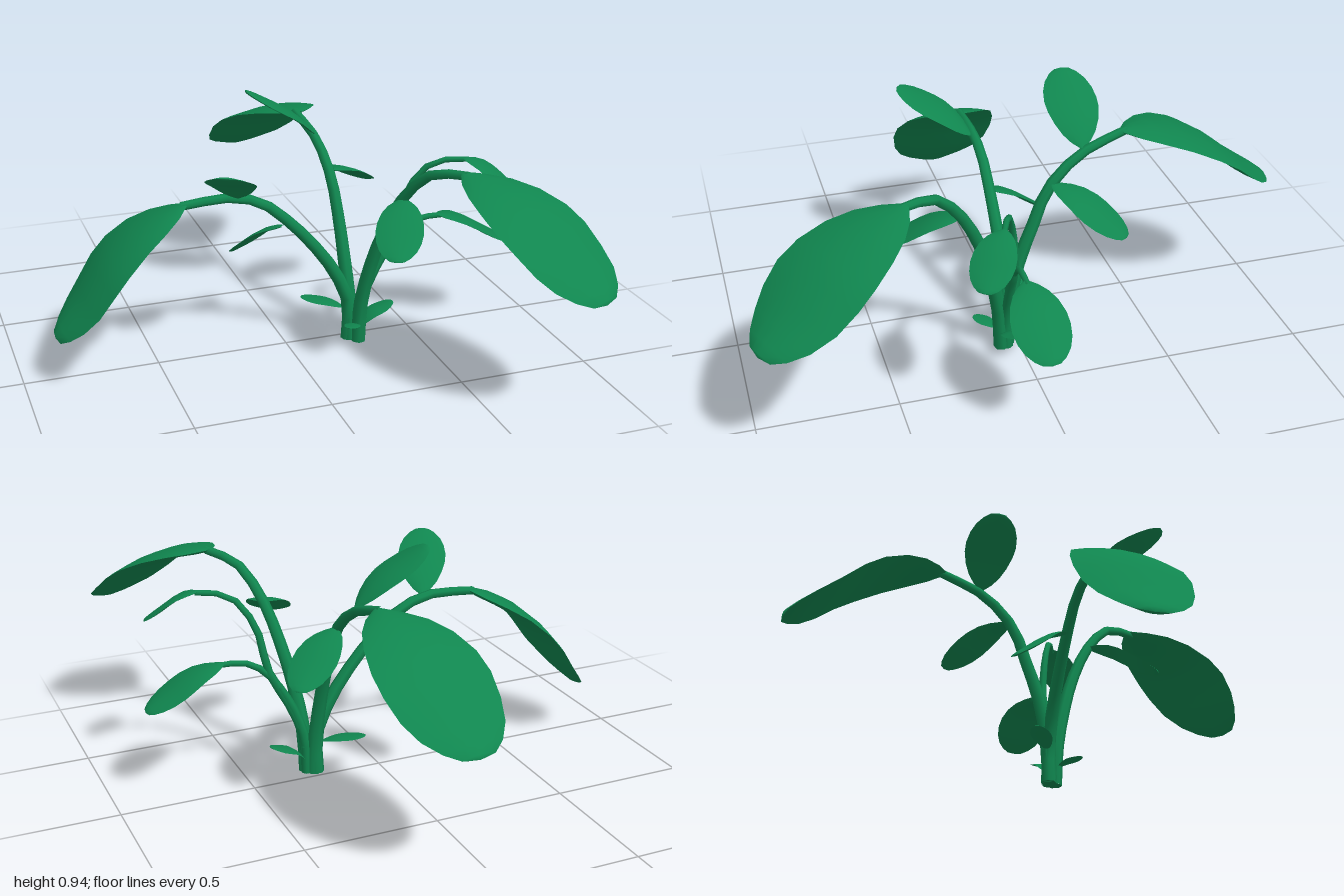
import * as THREE from 'three';
import { mergeGeometries } from 'three/addons/utils/BufferGeometryUtils.js';

const green = new THREE.MeshStandardMaterial({ color: 0x10864f });
green.name = 'leaf green';

const toCurve = (pts) => new THREE.CatmullRomCurve3(pts.map((p) => new THREE.Vector3(...p)));

// Tapered stalk following a path, closed at the foot
function stem(name, pts, r0, r1) {
  const curve = toCurve(pts);
  const seg = 12, sides = 7;
  const tube = new THREE.TubeGeometry(curve, seg, 1, sides, false);
  const pos = tube.attributes.position;
  const v = new THREE.Vector3();
  for (let i = 0; i <= seg; i++) {
    const c = curve.getPointAt(i / seg);
    const r = THREE.MathUtils.lerp(r0, r1, i / seg);
    for (let j = 0; j <= sides; j++) {
      const k = i * (sides + 1) + j;
      v.fromBufferAttribute(pos, k).sub(c).multiplyScalar(r).add(c);
      pos.setXYZ(k, v.x, v.y, v.z);
    }
  }
  const foot = new THREE.CircleGeometry(r0, sides).rotateX(Math.PI / 2).translate(...pts[0]);
  const mesh = new THREE.Mesh(mergeGeometries([tube, foot]), green);
  mesh.name = name;
  return mesh;
}

// Outline of a leaf: [position along the midrib, share of the half width]
const outline = [[0, 0.08], [0.07, 0.36], [0.17, 0.62], [0.3, 0.83], [0.45, 0.97], [0.58, 1],
  [0.72, 0.93], [0.84, 0.77], [0.93, 0.54], [0.985, 0.3], [1, 0]];
const across = [-1, -0.75, -0.4, 0, 0.4, 0.75, 1];

// One domed skin of the leaf; face is +1 for the top and -1 for the underside
function leafSkin(curve, halfWidth, face) {
  const verts = [], index = [];
  const n = across.length;
  outline.forEach(([t, share], i) => {
    const p = curve.getPointAt(t), tangent = curve.getTangentAt(t);
    const side = new THREE.Vector3(0, 1, 0).cross(tangent).normalize();
    const up = tangent.clone().cross(side);
    const w = halfWidth * share;
    const dome = halfWidth * (face > 0 ? 0.13 : 0.1) * Math.sqrt(share);
    across.forEach((u, j) => {
      const q = p.clone().addScaledVector(side, u * w)
        .addScaledVector(up, share === 0 ? 0 : face * dome * (1 - u * u));
      verts.push(q.x, q.y, q.z);
      if (i === outline.length - 1 || j === n - 1) return;
      const a = i * n + j, b = a + n, c = a + 1, d = b + 1;
      if (face > 0) index.push(a, b, c, c, b, d);
      else index.push(a, c, b, c, d, b);
    });
  });
  const g = new THREE.BufferGeometry();
  g.setAttribute('position', new THREE.Float32BufferAttribute(verts, 3));
  g.setIndex(index);
  g.computeVertexNormals();
  return g;
}

function leaf(name, pts, halfWidth) {
  const curve = toCurve(pts);
  const mesh = new THREE.Mesh(
    mergeGeometries([leafSkin(curve, halfWidth, 1), leafSkin(curve, halfWidth, -1)]), green);
  mesh.name = name;
  return mesh;
}

// Small leaf: S-curved midrib between base and tip, bulging up near the base
function smallLeaf(name, a, b, halfWidth, bulge = 0.018) {
  const at = (t, lift) => a.map((v, k) => v + (b[k] - v) * t + (k === 1 ? lift : 0));
  return leaf(name, [a, at(0.33, bulge), at(0.7, bulge * 0.4), b], halfWidth);
}

export function createModel() {
  const plant = new THREE.Group();
  plant.name = 'pottedPlantFoliage';

  // Main stalks fanning out of one foot
  plant.add(
    stem('rightStem', [[0.24, 0, 0.035], [0.24, 0.15, 0.035], [0.19, 0.27, 0.035], [0.1, 0.4, 0.035],
      [-0.01, 0.52, 0.035], [-0.11, 0.6, 0.035], [-0.23, 0.635, 0.04], [-0.41, 0.625, 0.04]], 0.028, 0.016),
    stem('backStem', [[0.25, 0, 0.04], [0.245, 0.15, 0.03], [0.235, 0.32, -0.005], [0.23, 0.47, -0.06],
      [0.22, 0.61, -0.12], [0.205, 0.72, -0.24], [0.18, 0.78, -0.42]], 0.03, 0.016),
    stem('frontStem', [[0.27, 0, 0.065], [0.275, 0.15, 0.075], [0.295, 0.32, 0.11], [0.325, 0.48, 0.16],
      [0.365, 0.64, 0.24], [0.42, 0.75, 0.34], [0.5, 0.78, 0.47]], 0.03, 0.016),
    stem('leftLowStem', [[0.275, 0, 0.045], [0.28, 0.13, 0.045], [0.33, 0.28, 0.05], [0.42, 0.42, 0.06],
      [0.5, 0.47, 0.065], [0.6, 0.475, 0.07]], 0.022, 0.01),
    stem('leftHighStem', [[0.275, 0, 0.05], [0.285, 0.15, 0.05], [0.34, 0.29, 0.055], [0.41, 0.42, 0.06],
      [0.45, 0.6, 0.08], [0.53, 0.71, 0.12], [0.64, 0.725, 0.165]], 0.022, 0.01),
  );

  // Three broad drooping leaves
  plant.add(
    leaf('rightBigLeaf', [[-0.39, 0.63, 0.04], [-0.56, 0.54, 0.04], [-0.67, 0.44, 0.04],
      [-0.77, 0.3, 0.04], [-0.88, 0.18, 0.04]], 0.205),
    leaf('backBigLeaf', [[0.185, 0.78, -0.4], [0.165, 0.745, -0.57], [0.145, 0.67, -0.73],
      [0.125, 0.56, -0.87], [0.11, 0.48, -1]], 0.205),
    leaf('frontBigLeaf', [[0.49, 0.785, 0.45], [0.57, 0.745, 0.6], [0.645, 0.67, 0.745],
      [0.71, 0.565, 0.87], [0.76, 0.485, 0.985]], 0.205),
  );

  // Side leaves sprouting from the stalks
  plant.add(
    smallLeaf('backStemRightLeaf', [0.2, 0.74, -0.25], [-0.07, 0.93, -0.255], 0.097),
    smallLeaf('backStemLeftLeaf', [0.225, 0.63, -0.13], [0.445, 0.5, -0.335], 0.085),
    smallLeaf('rightStemBackLeaf', [-0.02, 0.49, 0.02], [-0.145, 0.32, -0.205], 0.075),
    smallLeaf('rightStemFrontLeaf', [-0.2, 0.635, 0.05], [-0.32, 0.81, 0.3], 0.09),
    smallLeaf('frontStemLeaf', [0.365, 0.63, 0.235], [0.235, 0.5, 0.485], 0.085),
    smallLeaf('leftLowLeaf', [0.575, 0.48, 0.07], [0.87, 0.34, 0.07], 0.1),
    smallLeaf('leftHighLeaf', [0.63, 0.73, 0.16], [0.8, 0.61, 0.275], 0.075),
  );

  // Sprouts at the foot
  plant.add(
    smallLeaf('footSproutRight', [0.225, 0.125, 0.025], [0.08, 0.155, -0.06], 0.038, 0.006),
    smallLeaf('footSproutFront', [0.255, 0.07, 0.075], [0.2, 0.1, 0.155], 0.03, 0.006),
    smallLeaf('footSproutLeft', [0.28, 0.05, 0.05], [0.42, 0.13, 0.04], 0.045, 0.018),
  );
  return plant;
}
